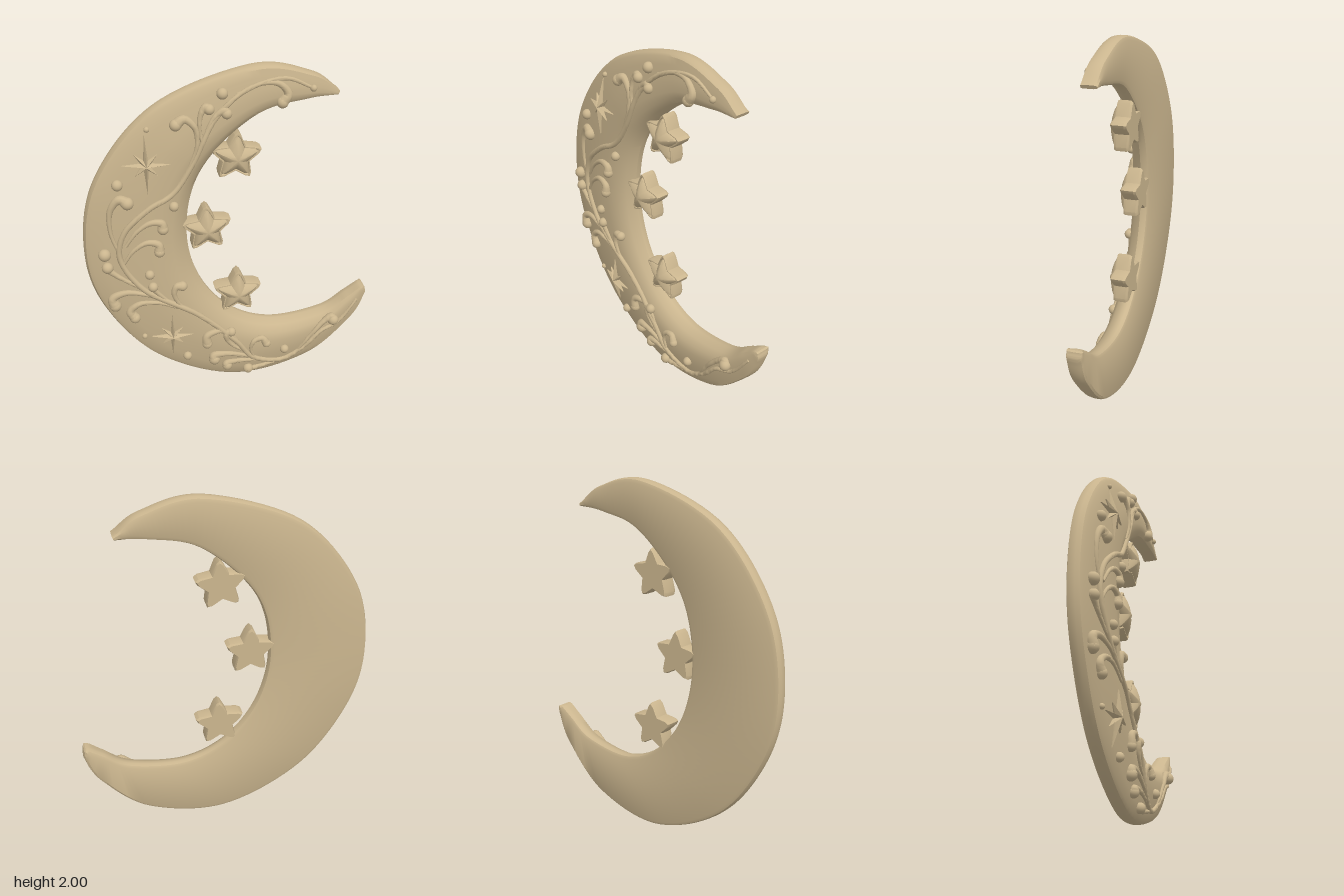
import * as THREE from 'three';
import { toCreasedNormals } from 'three/addons/utils/BufferGeometryUtils.js';

const V = (x, y, z = 0) => new THREE.Vector3(x, y, z);
const plaster = new THREE.MeshStandardMaterial({ color: 0xcab58e });
plaster.name = 'warm sand';

// Solid skin over a list of equal-sized rings, with fan caps at both ends
function loft(rings, crease = 0.7) {
  const n = rings[0].length, pts = rings.flat(), index = [];
  for (let i = 0; i < rings.length - 1; i++) {
    for (let j = 0; j < n; j++) {
      const a = i * n + j, b = i * n + (j + 1) % n;
      index.push(a, b, a + n, b, b + n, a + n);
    }
  }
  const cap = (ring, start, flip) => {
    const c = pts.length;
    pts.push(ring.reduce((s, p) => s.add(p), V(0, 0)).divideScalar(n));
    for (let j = 0; j < n; j++) {
      const a = start + j, b = start + (j + 1) % n;
      index.push(...(flip ? [c, b, a] : [c, a, b]));
    }
  };
  cap(rings[0], 0, true);
  cap(rings[rings.length - 1], (rings.length - 1) * n, false);
  // Turn the faces outward if the enclosed volume comes out negative
  let volume = 0;
  for (let i = 0; i < index.length; i += 3) {
    volume += pts[index[i]].dot(V(0, 0).crossVectors(pts[index[i + 1]], pts[index[i + 2]]));
  }
  if (volume < 0) index.reverse();
  const geo = new THREE.BufferGeometry().setFromPoints(pts);
  geo.setIndex(index);
  return toCreasedNormals(geo, crease);
}

// Crescent stations from top tip to bottom tip: outer x, y and inner x, y
const stations = [
  [.57, 1.835, .56, 1.815], [.42, 1.94, .4, 1.8], [.1, 2, .14, 1.735], [-.41, 1.82, -.105, 1.52],
  [-.73, 1.44, -.225, 1.29], [-.82, 1.02, -.25, .99], [-.74, .635, -.17, .71], [-.46, .24, .01, .487],
  [0, .01, .25, .383], [.45, .08, .55, .413], [.725, .32, .7, .505], [.81, .49, .77, .55], [.81, .55, .8, .557],
];
const curve = pts => new THREE.CatmullRomCurve3(pts.map(p => V(p[0], p[1])), false, 'catmullrom');
const outer = curve(stations), inner = curve(stations.map(s => s.slice(2)));
const chords = Array.from({ length: 121 }, (_, i) => [outer.getPoint(i / 120), inner.getPoint(i / 120)]);

// Domed front, running from the outer rim (0) to the inner rim (1)
const T = [0, .02, .06, .2, .45, .7, .84, .94, 1];
const Z = [-.035, -.012, 0, .015, .038, .046, .035, .004, -.04];
const BACK = -.085;
function frontZ(t, width) {
  let i = 0;
  while (i < T.length - 2 && t > T[i + 1]) i++;
  const z = THREE.MathUtils.lerp(Z[i], Z[i + 1], (t - T[i]) / (T[i + 1] - T[i]));
  return z > 0 ? z * Math.min(1, width / .45) : z;
}
// Height of the crescent's front at x, y
function surface(x, y) {
  const p = V(x, y);
  let best = Infinity, z = 0;
  for (const [o, i] of chords) {
    const d = i.clone().sub(o), w = d.length();
    const t = THREE.MathUtils.clamp(p.clone().sub(o).dot(d) / (w * w), 0, 1);
    const gap = o.clone().addScaledVector(d, t).distanceTo(p);
    if (gap < best) { best = gap; z = frontZ(t, w); }
  }
  return z;
}

function crescent() {
  return loft(chords.map(([o, i]) => {
    const w = o.distanceTo(i), e = Math.min(.025 / w, .3);
    const at = (t, z) => V(0, 0).lerpVectors(o, i, t).setZ(z);
    return [...T.map(t => at(t, frontZ(t, w))),
      at(1, -.06), at(1 - e * .3, -.077), at(1 - e, BACK), at(e, BACK), at(e * .3, -.077), at(0, -.06)];
  }), .6);
}

// Relief strand that follows the surface, with a radius given along its length
function strand(xy, radius, steps) {
  const path = new THREE.CatmullRomCurve3(xy.map(p => V(p[0], p[1])));
  const rings = [];
  for (let i = 0; i <= steps; i++) {
    const s = i / steps, p = path.getPoint(s), t = path.getTangent(s), r = radius(s);
    p.z = surface(p.x, p.y) + r * .25;
    rings.push(Array.from({ length: 10 }, (_, k) => {
      const a = k / 10 * Math.PI * 2, c = Math.cos(a) * r;
      return V(p.x - t.y * c, p.y + t.x * c, p.z + Math.sin(a) * r);
    }));
  }
  return loft(rings, 1.2);
}

// Main vine
const vine = [[.42, 1.87], [.27, 1.935], [.06, 1.89], [-.1, 1.755], [-.23, 1.5], [-.33, 1.355], [-.465, 1.275],
  [-.6, 1.14], [-.635, .98], [-.52, .765], [-.23, .555], [.01, .31], [.12, .16], [.3, .1], [.43, .175],
  [.54, .29], [.645, .335], [.76, .48]];

// Curls: tail x, y, bulb x, y and bow (positive bows to the left of the way it grows)
const curls = [
  [.02, 1.875, .255, 1.81, .38], [-.17, 1.63, -.13, 1.81, .2], [-.24, 1.5, -.305, 1.74, -.36],
  [-.16, 1.65, -.04, 1.78, .2], [-.635, 1, -.575, 1.32, .25], [-.6, 1.05, -.395, 1.145, .3],
  [-.62, .93, -.42, 1.005, .38], [-.5, .75, -.705, .92, .05], [-.36, .64, -.68, .655, -.28],
  [-.33, .61, -.575, .56, -.36], [-.35, .63, -.465, .775, .05], [-.26, .57, -.3, .755, .3],
  [.05, .25, -.165, .32, -.45], [.07, .22, -.02, .385, .25], [.12, .16, .195, .265, .6],
  [.2, .115, -.12, .185, -.15], [.2, .115, -.04, .115, -.12], [.32, .105, .09, .065, .05],
  [.4, .155, .61, .365, .12],
];
// Path that swells sideways and hooks back into its bulb
function hook(x, y, bx, by, bow) {
  const dx = bx - x, dy = by - y;
  const at = (u, v) => [x + dx * u - dy * v * bow, y + dy * u + dx * v * bow];
  return [at(0, 0), at(.42, .8), at(.82, 1), at(1.02 + .3 * Math.abs(bow) * Math.abs(bow), .55), at(1, 0)];
}

const beads = [[-.06, 1.885, .03], [-.45, 1.72, .015], [-.62, 1.425, .03], [-.33, 1.275, .027], [-.715, 1.005, .035],
  [-.48, .86, .027], [-.525, .41, .016], [-.28, .23, .026], [.31, .195, .027], [.42, 1.87, .018]];

// Eight-rayed sparkle with ridged rays
function sparkle(x, y, tall, wide) {
  const rays = [wide, .085, tall, .085];
  const ring = (scale, lift) => Array.from({ length: 16 }, (_, i) => {
    const a = i * Math.PI / 8, r = scale * (i % 2 ? .03 : rays[i / 2 % 4]);
    const px = x + Math.cos(a) * r, py = y + Math.sin(a) * r;
    return V(px, py, surface(px, py) + lift);
  });
  return loft([ring(1, -.02), ring(1, .006), ring(.01, .036)], .25);
}

// Thick five-pointed star with blunt tips, a raised lip and a ridged pillow front
function pointedStar(turn) {
  const outline = [];
  for (let i = 0; i < 5; i++) {
    const a = Math.PI / 2 + turn + i * Math.PI * .4;
    for (const [da, r] of [[-.13, .129], [0, .143], [.13, .129], [Math.PI / 5, .079]]) {
      outline.push([Math.cos(a + da) * r, Math.sin(a + da) * r]);
    }
  }
  const layers = [[.93, BACK], [1, -.072], [1, -.012], [.96, 0], [.89, 0], [.85, -.008], [.8, .004],
    [.6, .02], [.3, .035], [.01, .042]];
  return loft(layers.map(([s, z]) => outline.map(p => V(p[0] * s, p[1] * s, z))), .5);
}

export function createModel() {
  const model = new THREE.Group();
  model.name = 'crescent ornament';
  const add = (name, geo, parent = model) => {
    const mesh = new THREE.Mesh(geo, plaster);
    mesh.name = name;
    parent.add(mesh);
    return mesh;
  };
  const bead = (name, x, y, r, parent) =>
    add(name, new THREE.SphereGeometry(r, 18, 12), parent).position.set(x, y, surface(x, y) + r * .25);

  add('crescent', crescent());

  // Scrollwork
  const scrolls = new THREE.Group();
  scrolls.name = 'scrollwork';
  model.add(scrolls);
  add('vine', strand(vine, s => .007 + .009 * Math.sqrt(Math.abs(Math.sin(Math.PI * s))), 260), scrolls);
  for (const [x, y, bx, by, bow] of curls) {
    const r = .02 + .045 * Math.hypot(bx - x, by - y);
    add('curl', strand(hook(x, y, bx, by, bow), s => .009 + (r - .009) * s ** 1.6, 36), scrolls);
    bead('curlBulb', bx, by, r, scrolls);
  }

  // Beads and sparkles
  for (const [x, y, r] of beads) bead('bead', x, y, r, model);
  add('upperSparkle', sparkle(-.465, 1.53, .165, .125));
  add('lowerSparkle', sparkle(-.365, .405, .15, .12));

  // Stars along the inner edge
  for (const [name, x, y, turn] of [['upperStar', .02, 1.505, -.07], ['middleStar', -.145, 1.08, .02],
    ['lowerStar', .03, .625, -.03]]) {
    add(name, pointedStar(turn)).position.set(x, y, 0);
  }
  return model;
}
